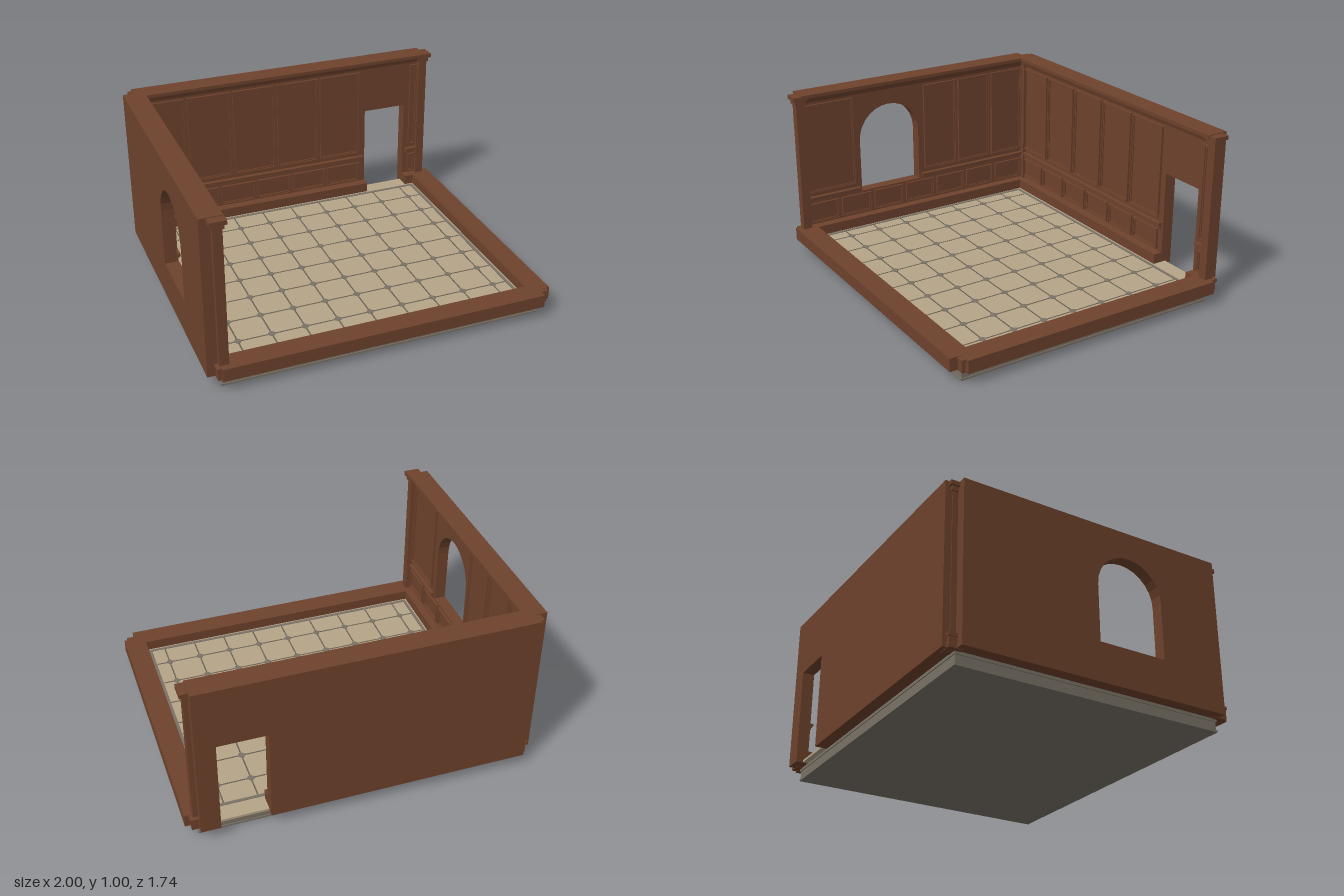
import * as THREE from 'three';

const mat = (name, color, side = THREE.FrontSide) => {
  const m = new THREE.MeshStandardMaterial({ color, side });
  m.name = name;
  return m;
};

export function createModel() {
  const wood = mat('brown wood', 0x6e422c);
  const tile = mat('tan tile', 0xb5a488);
  const stone = mat('grey stone', 0x7a7266);
  const grout = mat('dark grout', 0x6a6155);
  const room = new THREE.Group();
  room.name = 'panelledRoom';

  const add = (parent, name, geo, material, x = 0, y = 0, z = 0) => {
    const m = new THREE.Mesh(geo, material);
    m.name = name;
    m.position.set(x, y, z);
    parent.add(m);
    return m;
  };
  // Box given by its limits on each axis
  const block = (parent, name, material, x0, x1, y0, y1, z0, z1) =>
    add(parent, name, new THREE.BoxGeometry(x1 - x0, y1 - y0, z1 - z0), material,
      (x0 + x1) / 2, (y0 + y1) / 2, (z0 + z1) / 2);
  const rect = (Type, x0, x1, y0, y1) => {
    const s = new Type();
    s.moveTo(x0, y0).lineTo(x1, y0).lineTo(x1, y1).lineTo(x0, y1).closePath();
    return s;
  };

  // Each side is built with x along it, y up and z pointing into the room
  const side = (name, x, z, turn) => {
    const g = new THREE.Group();
    g.name = name;
    g.position.set(x, 0, z);
    g.rotation.y = turn;
    room.add(g);
    return g;
  };
  // Moulding: a (depth, height) profile run from x0 to x1
  const moulding = (parent, name, profile, x0, x1) => {
    const s = new THREE.Shape(profile.map(([d, y]) => new THREE.Vector2(-d, y)));
    const geo = new THREE.ExtrudeGeometry(s, { depth: x1 - x0, bevelEnabled: false });
    geo.rotateY(Math.PI / 2);
    add(parent, name, geo, wood, x0);
  };
  const T = 0.07; // wall thickness
  const beam = [[0, 0.075], [0.125, 0.075], [0.125, 0.15], [0, 0.15]];
  const rail = [[T, 0.295], [0.082, 0.3], [0.082, 0.315], [0.095, 0.322], [0.095, 0.335], [T, 0.335]];
  const cornice = [[T, 0.938], [0.085, 0.94], [0.09, 0.955], [0.105, 0.96], [0.11, 0.975],
    [0.128, 0.98], [0.128, 1], [0, 1], [0, 0.97], [T, 0.97]];

  // Raised double-stepped frame around a flat wall panel
  const panel = (parent, x0, x1, y0, y1) => {
    [[0, 0.007, 0.014], [0.007, 0.014, 0.007]].forEach(([outer, inner, depth]) => {
      const s = rect(THREE.Shape, x0 + outer, x1 - outer, y0 + outer, y1 - outer);
      s.holes.push(rect(THREE.Path, x0 + inner, x1 - inner, y0 + inner, y1 - inner));
      add(parent, 'panelFrame',
        new THREE.ExtrudeGeometry(s, { depth, bevelEnabled: false }), wood, 0, 0, T);
    });
  };
  const panelRow = (parent, count, x0, x1, y0, y1, gap) => {
    const pitch = (x1 - x0 + gap) / count;
    for (let i = 0; i < count; i++) {
      panel(parent, x0 + i * pitch, x0 + (i + 1) * pitch - gap, y0, y1);
    }
  };
  const wallBody = (parent, shape) =>
    add(parent, 'wall', new THREE.ExtrudeGeometry(shape, { depth: T, bevelEnabled: false, curveSegments: 7 }), wood);

  // Back wall with a doorway cut down to the floor
  const back = side('backWall', 0, -0.87, 0);
  const doorWall = new THREE.Shape();
  doorWall.moveTo(-0.935, 0.075).lineTo(0.545, 0.075).lineTo(0.545, 0.645).lineTo(0.82, 0.645)
    .lineTo(0.82, 0.075).lineTo(0.93, 0.075).lineTo(0.93, 1).lineTo(-0.935, 1).closePath();
  wallBody(back, doorWall);
  moulding(back, 'cornice', cornice, -0.935, 0.93);
  [[-0.935, 0.545], [0.82, 0.93]].forEach(([a, b]) => moulding(back, 'baseboard', beam, a, b));
  [[-0.93, 0.53], [0.835, 0.93]].forEach(([a, b]) => moulding(back, 'chairRail', rail, a, b));
  panelRow(back, 5, -0.91, 0.505, 0.36, 0.92, 0.016);
  panelRow(back, 6, -0.91, 0.505, 0.16, 0.288, 0.016);
  panel(back, 0.855, 0.905, 0.36, 0.92);
  panel(back, 0.855, 0.905, 0.16, 0.288);

  // Side wall with an arched window
  const left = side('windowWall', -1, 0, Math.PI / 2);
  const windowWall = rect(THREE.Shape, -0.8, 0.8, 0.075, 1);
  const arch = new THREE.Path();
  arch.moveTo(-0.41, 0.3).lineTo(0, 0.3).lineTo(0, 0.635)
    .absarc(-0.205, 0.635, 0.205, 0, Math.PI, false).lineTo(-0.41, 0.3);
  windowWall.holes.push(arch);
  wallBody(left, windowWall);
  moulding(left, 'cornice', cornice, -0.8, 0.8);
  moulding(left, 'baseboard', beam, -0.8, 0.8);
  [[-0.8, -0.425], [0.015, 0.8]].forEach(([a, b]) => moulding(left, 'chairRail', rail, a, b));
  panel(left, -0.78, -0.45, 0.36, 0.92);
  panelRow(left, 3, 0.04, 0.78, 0.36, 0.92, 0.018);
  panelRow(left, 7, -0.78, 0.78, 0.16, 0.288, 0.022);

  // Low sill beams on the open sides
  moulding(side('frontSill', 0, 0.867, Math.PI), 'sillBeam', beam, -0.935, 0.935);
  moulding(side('rightSill', 1, 0, -Math.PI / 2), 'sillBeam', beam, -0.8, 0.8);

  // Corner posts with plinth and stepped cap; the open corner keeps only its plinth
  [[-0.915, 0.805, true], [0.93, -0.795, true], [-0.915, -0.805, true], [0.935, 0.78, false]]
    .forEach(([x, z, tall]) => {
      const post = new THREE.Group();
      post.name = 'cornerPost';
      post.position.set(x, 0, z);
      room.add(post);
      const tier = (name, h, y0, y1) => block(post, name, wood, -h, h, y0, y1, -h, h);
      tier('plinth', 0.04, 0.072, 0.13);
      tier('plinthLip', 0.046, 0.13, 0.148);
      if (!tall) return;
      tier('shaft', 0.026, 0.148, 0.945);
      tier('capNeck', 0.034, 0.945, 0.972);
      tier('capTop', 0.046, 0.972, 0.996);
    });

  // Stone base with a small lip at top and bottom
  block(room, 'baseSlab', stone, -0.925, 0.925, 0.008, 0.066, -0.795, 0.795);
  block(room, 'baseLip', stone, -0.93, 0.93, 0, 0.012, -0.8, 0.8);
  block(room, 'baseTop', stone, -0.93, 0.93, 0.058, 0.076, -0.8, 0.8);

  // Tiled floor with grout lines, diamond insets and a border strip
  const F = 0.09;
  block(room, 'floor', tile, -0.92, 0.92, 0.076, F, -0.83, 0.79);
  const P = 0.1915;
  for (let i = -4; i <= 4; i++) {
    block(room, 'groutLine', grout, i * P - 0.004, i * P + 0.004, F - 0.002, F + 0.001, -0.71, 0.71);
  }
  for (let j = -3; j <= 3; j++) {
    block(room, 'groutLine', grout, -0.845, 0.845, F - 0.002, F + 0.001, j * P - 0.004, j * P + 0.004);
    for (let i = -4; i <= 4; i++) {
      const d = add(room, 'diamondInset', new THREE.BoxGeometry(0.036, 0.007, 0.036), stone, i * P, F, j * P);
      d.rotation.y = Math.PI / 4;
    }
  }
  for (const s of [-1, 1]) {
    add(room, 'borderStrip', new THREE.BoxGeometry(1.73, 0.006, 0.018), stone, 0, F, s * 0.722);
    add(room, 'borderStrip', new THREE.BoxGeometry(0.018, 0.006, 1.46), stone, s * 0.856, F, 0);
  }
  return room;
}
